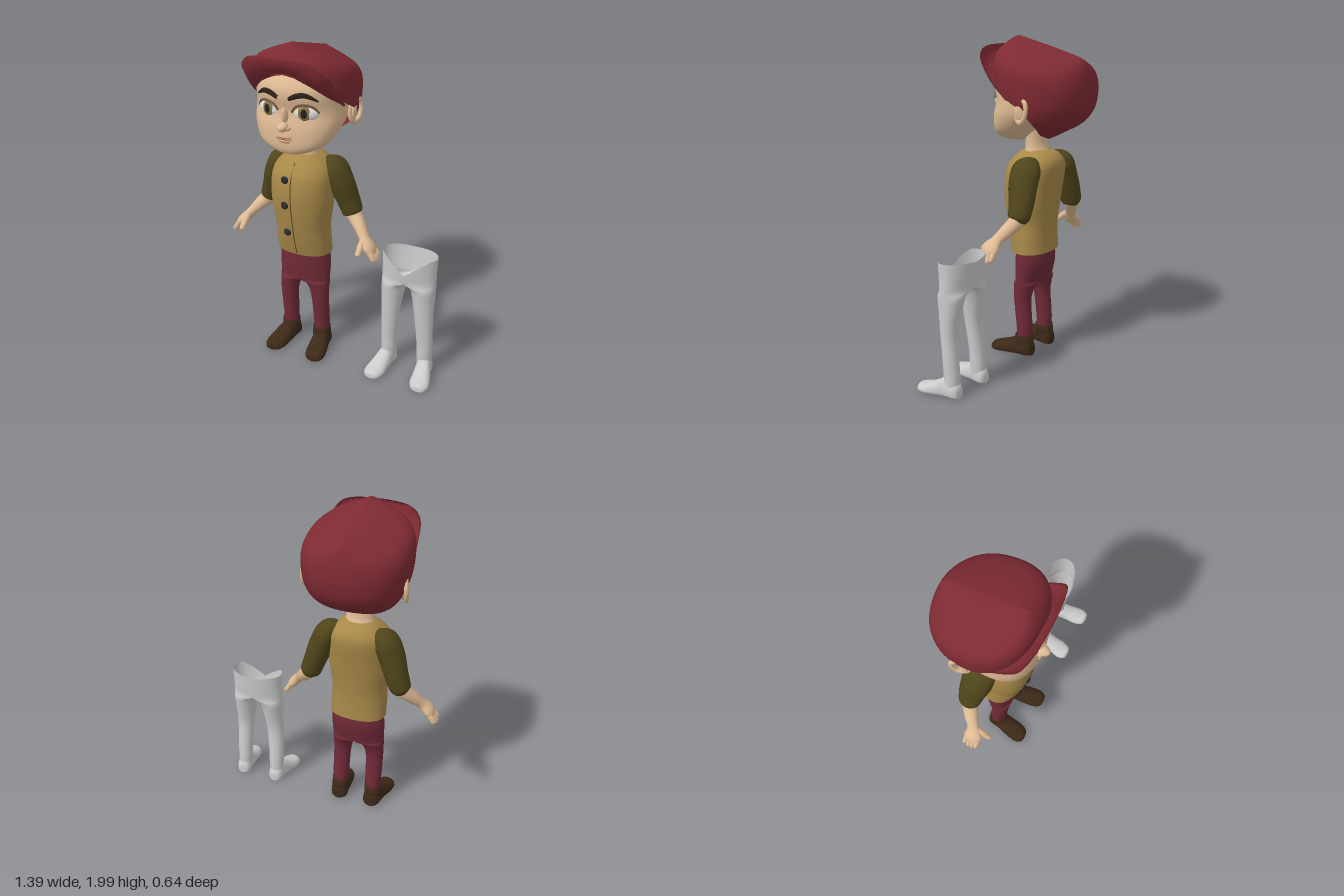
import * as THREE from 'three';
import { mergeVertices, mergeGeometries } from 'three/addons/utils/BufferGeometryUtils.js';

const V = (x, y, z) => new THREE.Vector3(x, y, z);
const mat = color => new THREE.MeshStandardMaterial({ color, side: THREE.DoubleSide });
const spow = (v, e) => Math.sign(v) * Math.pow(Math.abs(v), e);

// Catmull-Rom through table rows, k steps per segment
function smooth(table, k = 5) {
  const out = [], last = table.length - 1;
  for (let i = 0; i < last; i++) {
    const [a, b, c, d] = [table[Math.max(i - 1, 0)], table[i], table[i + 1], table[Math.min(i + 2, last)]];
    for (let s = 0; s < k; s++) {
      const t = s / k;
      out.push(b.map((v, j) => v + 0.5 * t * (c[j] - a[j] + t * (2 * a[j] - 5 * v + 4 * c[j] - d[j] + t * (3 * (v - c[j]) + d[j] - a[j])))));
    }
  }
  return [...out, table[last]];
}

// Linear lookup by first column
function at(table, key) {
  let i = 0;
  while (i < table.length - 2 && table[i + 1][0] < key) i++;
  const a = table[i], b = table[i + 1];
  const t = THREE.MathUtils.clamp((key - a[0]) / (b[0] - a[0]), 0, 1);
  return a.map((v, j) => v + (b[j] - v) * t);
}

// Smooth surface through rows of points
function grid(rows) {
  const n = rows[0].length, idx = [], g = new THREE.BufferGeometry().setFromPoints(rows.flat());
  for (let i = 0; i < rows.length - 1; i++) for (let j = 0; j < n - 1; j++) {
    const a = i * n + j, d = a + n;
    idx.push(a, a + 1, d + 1, a, d + 1, d);
  }
  g.setIndex(idx);
  return weld(g);
}
function weld(g) {
  const w = mergeVertices(g, 1e-5);
  w.computeVertexNormals();
  return w;
}
const ring = (n, f, from = 0, to = Math.PI * 2) =>
  Array.from({ length: n + 1 }, (_, j) => f(from + (to - from) * j / n));

// Horizontal sections [y, halfWidth, zFront, zBack]
function loft(table, p = 2, n = 40) {
  return grid(table.map(([y, rx, zf, zb]) => ring(n, a =>
    V(rx * spow(Math.sin(a), 2 / p), y, (zf + zb) / 2 + (zf - zb) / 2 * spow(Math.cos(a), 2 / p)))));
}

// Tapered limb: stations [x, y, z, radius toward z, radius across]; rounded tip
function limb(stations, n = 16, k = 6) {
  const s = smooth(stations, k), last = s.length - 1;
  const rows = s.map((r, i) => {
    const c = V(r[0], r[1], r[2]), q = s[Math.min(i + 1, last)], o = s[Math.max(i - 1, 0)];
    const T = V(q[0] - o[0], q[1] - o[1], q[2] - o[2]).normalize();
    const N = V(0, 0, 1).addScaledVector(T, -T.z).normalize(), B = T.clone().cross(N);
    const f = Math.max(0, i / last - 0.8) / 0.2, e = Math.sqrt(1 - f * f);
    return ring(n, a => c.clone().addScaledVector(N, Math.cos(a) * r[3] * e).addScaledVector(B, Math.sin(a) * r[4] * e));
  });
  return grid(rows);
}
function ball(x, y, z, rx, ry, rz, turnY = 0, turnX = 0) {
  return new THREE.SphereGeometry(1, 24, 16).scale(rx, ry, rz).rotateX(turnX).rotateY(turnY).translate(x, y, z);
}
const tube = (pts, r) => new THREE.TubeGeometry(new THREE.CatmullRomCurve3(pts), 24, r, 8);

function mirrored(g) {
  const m = g.clone().scale(-1, 1, 1), i = m.index.array;
  for (let k = 0; k < i.length; k += 3) [i[k], i[k + 2]] = [i[k + 2], i[k]];
  m.computeVertexNormals();
  return m;
}
function part(group, name, geo, material) {
  const m = new THREE.Mesh(geo, material);
  m.name = name;
  group.add(m);
}
function pair(group, name, geo, material) {
  part(group, 'left' + name, geo, material);
  part(group, 'right' + name, mirrored(geo), material);
}

// Hips and legs: rows [y, legCentre, outerRadius, innerRadius, zFront, zBack]; crotch = first pelvis row
function trousers(table, crotch, dip = 0) {
  const k = 5, rows = smooth(table, k), top = table[table.length - 1][0], cy = table[crotch][0];
  const row = (r, from, to) => ring(16, a => {
    const s = Math.sin(a), c = Math.cos(a), [y, cx, ro, ri, zf, zb] = r;
    const x = Math.max(0, cx + s * (s > 0 ? ro : ri));
    const lower = dip * Math.max(0, 1 - x / 0.14) * (c > 0 ? 1 : 0.1) * Math.max(0, (y - cy) / (top - cy));
    return V(x, y - lower, (zf + zb) / 2 + c * (zf - zb) / 2);
  }, from, to);
  const outer = grid(rows.map(r => row(r, 0, Math.PI)));
  const inner = grid(rows.slice(0, crotch * k + 1).map(r => row(r, Math.PI, Math.PI * 2)));
  const half = mergeGeometries([outer, inner]);
  const all = mergeGeometries([half, mirrored(half)]);
  all.deleteAttribute('normal');
  return weld(all);
}

// Foot from toe to heel: [z, centreX, halfWidth, height]
function foot(table) {
  return grid(smooth(table, 4).map(([z, cx, w, h]) => ring(24, a => {
    const c = Math.cos(a);
    return V(cx + w * spow(Math.sin(a), 0.8), 0.01 + h * (c > 0 ? 0.3 + 0.7 * c : 0.3 + 0.3 * spow(c, 0.6)), z);
  })));
}

function createHead(fig, skin, capMat) {
  const table = smooth([[1.378, 0, 0.19, 0.16], [1.382, 0.08, 0.245, 0.09], [1.405, 0.15, 0.265, 0.05], [1.45, 0.213, 0.272, 0],
    [1.54, 0.258, 0.268, -0.12], [1.63, 0.267, 0.25, -0.2], [1.72, 0.265, 0.268, -0.23], [1.79, 0.255, 0.25, -0.22],
    [1.85, 0.2, 0.19, -0.18], [1.88, 0, 0, 0]]);
  const p = 2.3;
  const faceZ = (x, y) => {
    const [, rx, zf, zb] = at(table, y);
    return (zf + zb) / 2 + (zf - zb) / 2 * Math.pow(1 - Math.pow(Math.abs(x) / rx, p), 1 / p);
  };
  const onFace = (x, y, out = 0) => V(x, y, faceZ(x, y) + out);
  part(fig, 'head', loft(table, p), skin);
  part(fig, 'neck', loft(smooth([[1.26, 0.11, 0.12, -0.07], [1.33, 0.085, 0.1, -0.03], [1.4, 0.08, 0.1, -0.02], [1.5, 0.085, 0.1, -0.03]])), skin);
  part(fig, 'nose', mergeGeometries([ball(0, 1.55, 0.278, 0.03, 0.026, 0.042), ball(0, 1.6, 0.25, 0.02, 0.06, 0.025, 0, 0.35),
    ball(0.024, 1.543, 0.268, 0.017, 0.015, 0.022), ball(-0.024, 1.543, 0.268, 0.017, 0.015, 0.022)]), skin);
  part(fig, 'lips', mergeGeometries([ball(0, 1.49, 0.262, 0.05, 0.012, 0.022), ball(0, 1.466, 0.262, 0.042, 0.014, 0.022)]), mat(0xcf9f80));
  part(fig, 'mouthLine', tube([-0.052, -0.02, 0.02, 0.052].map(x => V(x, 1.478, 0.28 - 5 * x * x)), 0.003), mat(0x8a5f4c));

  // Eyes and brows
  const ez = faceZ(0.11, 1.63), tilt = 0.22;
  pair(fig, 'EyeWhite', ball(0.112, 1.63, ez - 0.016, 0.074, 0.046, 0.028, tilt), mat(0xe4e0da));
  pair(fig, 'Iris', ball(0.112, 1.632, ez + 0.004, 0.037, 0.041, 0.011, tilt), mat(0x8a7648));
  pair(fig, 'Pupil', ball(0.113, 1.632, ez + 0.01, 0.02, 0.028, 0.008, tilt), mat(0x25211c));
  pair(fig, 'Eyelid', tube([[0.042, 1.635], [0.07, 1.67], [0.115, 1.682], [0.16, 1.668], [0.186, 1.635]].map(q => onFace(...q, 0.004)), 0.007), mat(0x7a5a44));
  const brow = [[0.035, 1.712, 0.011], [0.08, 1.733, 0.015], [0.13, 1.735, 0.014], [0.19, 1.7, 0.004]];
  pair(fig, 'Eyebrow', limb(brow.map(([x, y, r]) => [x, y, faceZ(x, y) + 0.004, 0.01, r])), mat(0x2b211b));

  // Ears with a raised outer fold
  const fold = new THREE.TorusGeometry(0.047, 0.013, 10, 28).scale(1, 1.4, 1).rotateY(Math.PI / 2 - 0.35).rotateX(-0.2).translate(0.285, 1.592, -0.052);
  pair(fig, 'Ear', mergeGeometries([fold, ball(0.272, 1.59, -0.05, 0.022, 0.064, 0.045, 0.35, -0.2)]), skin);

  // Cap crown: slanted sections [height, halfWidth, zFront, zBack] above a sweeping rim
  const crown = smooth([[1.4, 0.1, 0, -0.04], [1.47, 0.2, 0.1, -0.13], [1.55, 0.268, 0.2, -0.23], [1.65, 0.298, 0.25, -0.3],
    [1.75, 0.305, 0.264, -0.322], [1.82, 0.295, 0.26, -0.32], [1.87, 0.255, 0.242, -0.312], [1.91, 0.17, 0.22, -0.3],
    [1.94, 0.07, 0.195, -0.285], [1.955, 0, 0.17, -0.26]]);
  const rim = [[0, 1.77], [0.45, 1.745], [0.8, 1.71], [1.2, 1.65], [1.57, 1.62], [1.9, 1.55], [2.3, 1.46], [3.1416, 1.405]];
  const rows = [];
  for (let i = 0; i <= 26; i++) rows.push(ring(64, a => {
    const low = at(rim, Math.min(a, Math.PI * 2 - a))[1], h = low + (1.955 - low) * Math.sin(i / 26 * Math.PI / 2);
    const [, rx, zf, zb] = at(crown, h), c = spow(Math.cos(a), 2 / p);
    const z = -0.02 + c * (c > 0 ? zf + 0.02 : -0.02 - zb);
    return V(rx * spow(Math.sin(a), 2 / p), h + 0.26 * z, z);
  }));
  part(fig, 'capCrown', grid(rows), capMat);

  // Upturned brim between the rim line and its outer edge
  const curve = half => new THREE.CatmullRomCurve3([...half.slice(1).reverse().map(q => V(-q[0], q[1], q[2])), ...half.map(q => V(...q))]).getPoints(40);
  const base = curve([[0, 1.835, 0.25], [0.135, 1.79, 0.238], [0.225, 1.71, 0.165], [0.265, 1.64, 0.05]]);
  const edge = curve([[0, 1.945, 0.31], [0.2, 1.925, 0.292], [0.255, 1.87, 0.265], [0.272, 1.77, 0.18], [0.272, 1.645, 0.055]]);
  const brim = [];
  for (let i = 0; i <= 14; i++) {
    const under = i <= 7, t = (under ? i : 14 - i) / 7, back = under ? 0 : 0.012 * (1 - t);
    brim.push(base.map((b, j) => b.clone().lerp(edge[j], t).add(V(0, back, 0.02 * Math.sin(t * Math.PI) - back))));
  }
  part(fig, 'capBrim', grid(brim), capMat);
}

function createFigure() {
  const fig = new THREE.Group();
  fig.name = 'boy';
  const skin = mat(0xdfbb94), vest = mat(0xa88949), dark = mat(0x2c2b31), shoe = mat(0x3d2918);
  createHead(fig, skin, mat(0x7e2a32));

  // Vest, front seam and buttons
  const torso = smooth([[0.69, 0.172, 0.158, -0.072], [0.78, 0.17, 0.182, -0.07], [0.88, 0.167, 0.202, -0.075], [1, 0.183, 0.22, -0.09],
    [1.1, 0.188, 0.225, -0.105], [1.2, 0.185, 0.212, -0.122], [1.26, 0.163, 0.18, -0.12], [1.305, 0.115, 0.14, -0.09], [1.328, 0.075, 0.1, -0.04]]);
  part(fig, 'vest', loft(torso, 2.3), vest);
  part(fig, 'vestSeam', tube([0.7, 0.8, 0.9, 1, 1.1, 1.2, 1.29].map(y => V(0, y, at(torso, y)[2])), 0.003), mat(0x5f4a26));
  for (const y of [1.197, 1.04, 0.853]) part(fig, 'button', ball(-0.04, y, at(torso, y)[2] - 0.001, 0.024, 0.024, 0.011), dark);

  // Arms
  pair(fig, 'Sleeve', limb([[0.11, 1.27, -0.01, 0.045, 0.03], [0.17, 1.235, -0.012, 0.092, 0.07], [0.212, 1.15, -0.015, 0.092, 0.075],
    [0.248, 1.05, -0.03, 0.08, 0.068], [0.28, 0.96, -0.035, 0.066, 0.062], [0.284, 0.948, -0.034, 0.05, 0.05]], 24), mat(0x4f451b));
  const hand = [limb([[0.25, 1.04, -0.035, 0.05, 0.05], [0.29, 0.95, -0.03, 0.048, 0.048], [0.345, 0.89, 0.005, 0.042, 0.038],
    [0.39, 0.84, 0.04, 0.036, 0.029], [0.43, 0.795, 0.058, 0.055, 0.031], [0.465, 0.75, 0.062, 0.055, 0.026]], 20),
    limb([[0.395, 0.835, 0.06, 0.02, 0.02], [0.395, 0.805, 0.105, 0.021, 0.02], [0.395, 0.78, 0.135, 0.018, 0.017], [0.395, 0.765, 0.155, 0.016, 0.015]], 12)];
  for (let i = 0; i < 4; i++) {
    const z = 0.024 + i * 0.024, l = i === 0 || i === 3 ? 0.012 : 0;
    hand.push(limb([[0.44, 0.782, z, 0.015, 0.018], [0.465, 0.75, z, 0.015, 0.018], [0.485 - l / 2, 0.713 + l, z, 0.013, 0.014]], 12));
  }
  pair(fig, 'ForearmAndHand', mergeGeometries(hand), skin);

  // Trousers and shoes
  part(fig, 'trousers', trousers([[0.09, 0.108, 0.048, 0.045, 0.095, 0.005], [0.2, 0.108, 0.052, 0.05, 0.1, 0], [0.36, 0.105, 0.057, 0.052, 0.118, 0.012],
    [0.44, 0.096, 0.067, 0.062, 0.126, 0], [0.485, 0.07, 0.095, 0.068, 0.132, -0.02], [0.505, 0, 0.165, 0, 0.135, -0.028],
    [0.62, 0, 0.167, 0, 0.142, -0.055], [0.74, 0, 0.155, 0, 0.14, -0.05]], 5), mat(0x702a38));
  pair(fig, 'Shoe', mergeGeometries([
    foot([[0.268, 0.145, 0, 0.02], [0.26, 0.144, 0.04, 0.045], [0.22, 0.14, 0.062, 0.06], [0.15, 0.13, 0.062, 0.085], [0.08, 0.118, 0.055, 0.115],
      [0.02, 0.11, 0.054, 0.11], [-0.008, 0.11, 0.035, 0.08], [-0.015, 0.11, 0, 0.05]]),
    loft([[0.05, 0.052, 0.12, -0.012], [0.1, 0.056, 0.115, -0.01], [0.142, 0.055, 0.108, -0.006], [0.142, 0.04, 0.09, 0.01]], 2, 24).translate(0.11, 0, 0)]), shoe);
  return fig;
}

// Free-standing hollow legs
function createSpareLegs() {
  const legs = new THREE.Group(), grey = mat(0xcccccc);
  legs.name = 'spareLegs';
  part(legs, 'hollowLegs', trousers([[0.04, 0.118, 0.046, 0.045, 0.09, 0], [0.14, 0.115, 0.047, 0.047, 0.097, 0.002], [0.22, 0.114, 0.05, 0.048, 0.1, 0.008],
    [0.39, 0.105, 0.057, 0.054, 0.117, 0.018], [0.53, 0.097, 0.066, 0.066, 0.132, -0.005], [0.61, 0.085, 0.08, 0.073, 0.142, -0.022],
    [0.655, 0, 0.166, 0, 0.147, -0.03], [0.73, 0, 0.165, 0, 0.152, -0.038], [0.815, 0, 0.167, 0, 0.157, -0.045]], 6, 0.1), grey);
  pair(legs, 'Foot', foot([[0.264, 0.15, 0, 0.015], [0.255, 0.149, 0.04, 0.04], [0.21, 0.146, 0.06, 0.052], [0.14, 0.136, 0.055, 0.08],
    [0.08, 0.125, 0.048, 0.115], [0.025, 0.118, 0.048, 0.1], [-0.005, 0.117, 0.033, 0.07], [-0.012, 0.117, 0, 0.04]]), grey);
  return legs;
}

export function createModel() {
  const model = new THREE.Group(), boy = createFigure(), legs = createSpareLegs();
  model.name = 'boyWithSpareLegs';
  boy.position.x = -0.2;
  legs.position.x = 0.49;
  model.add(boy, legs);
  return model;
}
